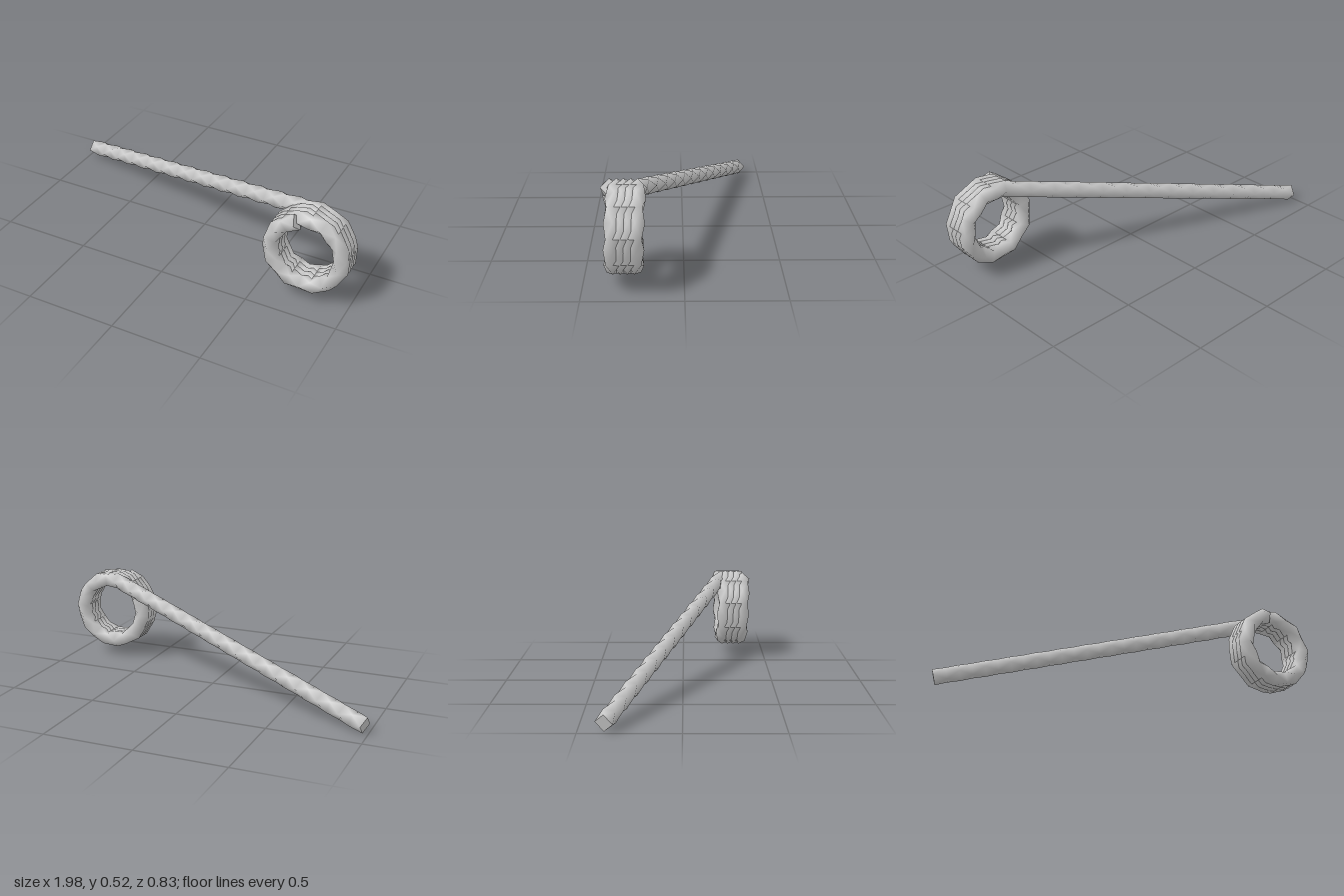
import * as THREE from 'three';

const R = 0.191, ROPE = 0.046, TURNS = 4, STEPS = 18, TAIL_STEPS = 26;
const START = THREE.MathUtils.degToRad(105);
const Z_FRONT = 0.365, Z_BACK = 0.225;
const CENTER = new THREE.Vector3(0.758, 0.288, 0);
const TAIL_END = new THREE.Vector3(-0.981, 0.045, -0.372);

// Centre line: four turns of a coil, then a straight tail leaving at a tangent
function ropePath() {
  const points = [], outward = [];
  const coilSteps = TURNS * STEPS;
  for (let i = 0; i <= coilSteps; i++) {
    const a = START + (i / STEPS) * Math.PI * 2;
    const out = new THREE.Vector3(Math.cos(a), Math.sin(a), 0);
    const p = CENTER.clone().addScaledVector(out, R);
    p.z = THREE.MathUtils.lerp(Z_FRONT, Z_BACK, i / coilSteps);
    points.push(p);
    outward.push(out);
  }
  const tailStart = points[coilSteps];
  for (let i = 1; i <= TAIL_STEPS; i++) {
    points.push(tailStart.clone().lerp(TAIL_END, i / TAIL_STEPS));
    outward.push(outward[coilSteps]);
  }
  return { points, outward };
}

// Square section turned an eighth of a turn at every ring
function twistedRope({ points, outward }, radius, sides = 4) {
  const pos = [], index = [], last = points.length - 1;
  points.forEach((p, i) => {
    const t = points[Math.min(i + 1, last)].clone().sub(points[Math.max(i - 1, 0)]).normalize();
    const n = outward[i].clone().addScaledVector(t, -outward[i].dot(t)).normalize();
    const b = new THREE.Vector3().crossVectors(t, n);
    for (let j = 0; j < sides; j++) {
      const a = ((j + i / 2) / sides) * Math.PI * 2;
      const v = p.clone().addScaledVector(n, radius * Math.cos(a)).addScaledVector(b, radius * Math.sin(a));
      pos.push(v.x, v.y, v.z);
    }
  });
  for (let i = 0; i < last; i++) {
    for (let j = 0; j < sides; j++) {
      const k = (j + 1) % sides;
      const a = i * sides + j, b = i * sides + k, c = a + sides, d = b + sides;
      index.push(a, b, c, b, d, c);
    }
  }
  // Flat ends on their own vertices
  for (const ring of [0, last]) {
    const base = pos.length / 3;
    pos.push(...pos.slice(ring * sides * 3, (ring + 1) * sides * 3));
    for (let j = 1; j < sides - 1; j++) {
      if (ring === 0) index.push(base, base + j + 1, base + j);
      else index.push(base, base + j, base + j + 1);
    }
  }
  const g = new THREE.BufferGeometry();
  g.setAttribute('position', new THREE.Float32BufferAttribute(pos, 3));
  g.setIndex(index);
  g.computeVertexNormals();
  return g;
}

export function createModel() {
  const group = new THREE.Group();
  group.name = 'coiledRope';
  const rope = new THREE.Mesh(
    twistedRope(ropePath(), ROPE),
    new THREE.MeshStandardMaterial({ color: 0xcccccc })
  );
  rope.name = 'rope';
  group.add(rope);
  return group;
}
